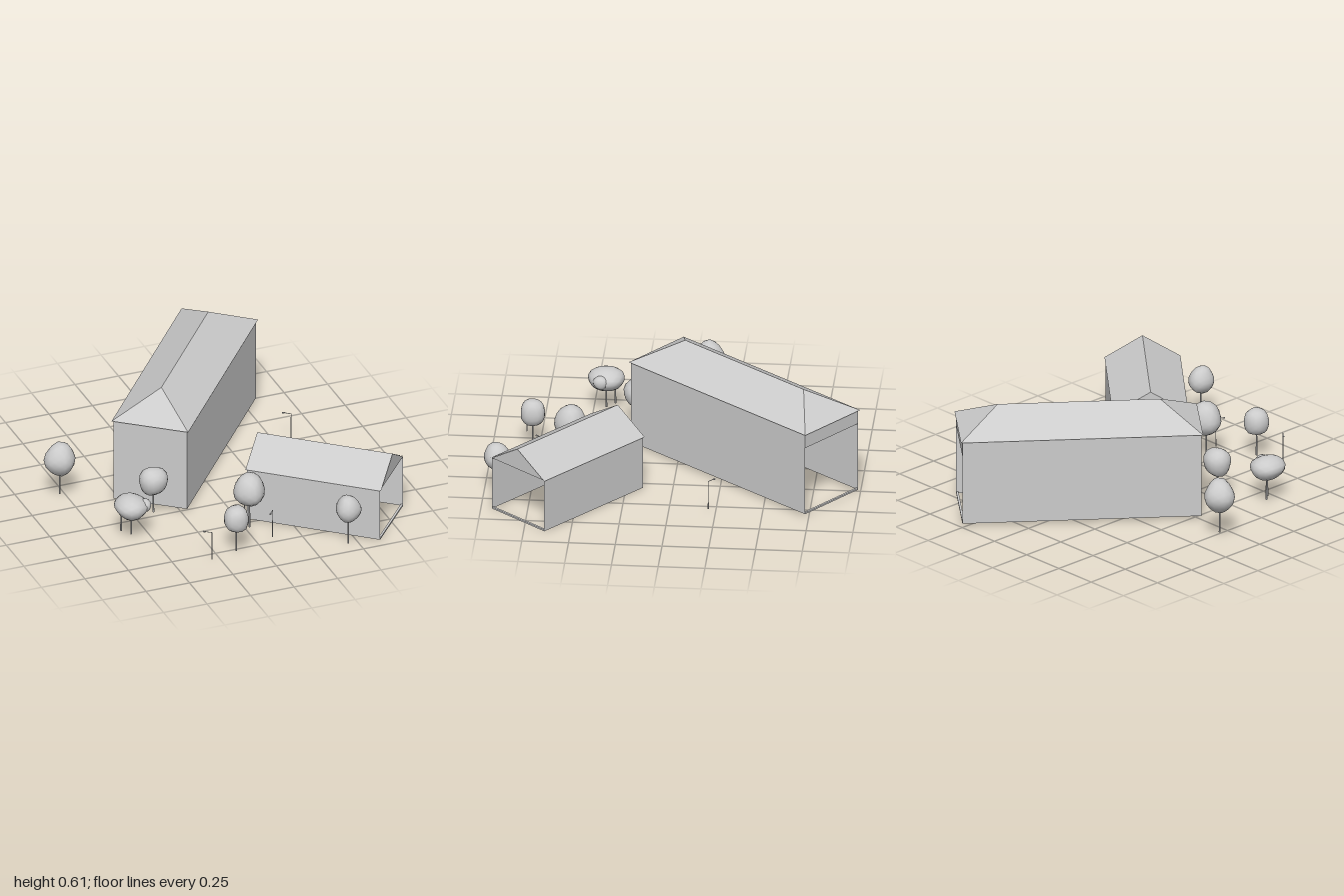
import * as THREE from 'three';
import { mergeVertices } from 'three/addons/utils/BufferGeometryUtils.js';

const grey = new THREE.MeshStandardMaterial({ color: 0xcccccc });
const sheet = new THREE.MeshStandardMaterial({ color: 0xcccccc, side: THREE.DoubleSide });

function add(parent, name, geometry, material = grey) {
  const mesh = new THREE.Mesh(geometry, material);
  mesh.name = name;
  parent.add(mesh);
  return mesh;
}

// Flat convex panel through the given corners
function panel(parent, name, ...corners) {
  const pos = [];
  for (let i = 1; i < corners.length - 1; i++) pos.push(...corners[0], ...corners[i], ...corners[i + 1]);
  const geo = new THREE.BufferGeometry();
  geo.setAttribute('position', new THREE.Float32BufferAttribute(pos, 3));
  geo.computeVertexNormals();
  return add(parent, name, geo, sheet);
}

// Hollow hall without a floor, its doorway at the local +x end
function hall({ name, x, z, turn, length, width, base, eave, ridge, ridgeLength, inset, doorTop }) {
  const g = new THREE.Group();
  g.name = name;
  g.position.set(x, 0, z);
  g.rotation.y = turn;
  const L = length / 2, W = width / 2, R = ridgeLength / 2, l = L - inset, w = W - inset;
  const gabled = ridgeLength === length;

  // side walls and roof slopes
  for (const s of [1, -1]) {
    panel(g, 'sideWall', [-s * l, base, s * w], [s * l, base, s * w], [s * l, eave, s * w], [-s * l, eave, s * w]);
    panel(g, 'roofSlope', [-s * L, eave, s * W], [s * L, eave, s * W], [s * R, ridge, 0], [-s * R, ridge, 0]);
    // gable triangle or hipped roof end
    if (gabled) panel(g, 'gable', [s * l, eave, s * w], [s * l, eave, -s * w], [s * l, ridge, 0]);
    else panel(g, 'hip', [s * L, eave, s * W], [s * L, eave, -s * W], [s * R, ridge, 0]);
  }

  // closed end, panel above the doorway and door sill
  panel(g, 'endWall', [-l, base, -w], [-l, base, w], [-l, eave, w], [-l, eave, -w]);
  if (doorTop < eave) panel(g, 'doorHeader', [l, doorTop, w], [l, doorTop, -w], [l, eave, -w], [l, eave, w]);
  add(g, 'doorSill', new THREE.BoxGeometry(0.012, 0.009, 2 * w)).position.set(l - 0.006, base + 0.0045, 0);
  return g;
}

// Lumpy smooth foliage ball
function crownGeometry(seed) {
  let geo = new THREE.IcosahedronGeometry(1, 2);
  geo.deleteAttribute('uv');
  geo.deleteAttribute('normal');
  geo = mergeVertices(geo, 1e-3);
  const p = geo.attributes.position, v = new THREE.Vector3();
  for (let i = 0; i < p.count; i++) {
    v.fromBufferAttribute(p, i);
    const k = 0.97 + 0.035 * Math.sin(4 * v.x + seed) + 0.035 * Math.sin(4 * v.z + 2 * seed) + 0.03 * Math.sin(5 * v.y + 3 * seed);
    v.multiplyScalar(k);
    p.setXYZ(i, v.x, v.y, v.z);
  }
  geo.computeVertexNormals();
  return geo;
}

function trunk(parent, x, z, y0, y1) {
  add(parent, 'trunk', new THREE.CylinderGeometry(0.003, 0.005, y1 - y0, 6)).position.set(x, (y0 + y1) / 2, z);
}

function tree(x, z, base, low, high, r, seed) {
  const g = new THREE.Group();
  g.name = 'tree';
  const mid = (low + high) / 2;
  trunk(g, x, z, base, mid);
  const crown = add(g, 'crown', crownGeometry(seed));
  crown.position.set(x, mid, z);
  crown.scale.set(r, (high - low) / 2, r);
  return g;
}

// Street lamp: post, arm reaching by (dx, dz), small lamp head
function lamp(x, z, base, dx, dz) {
  const g = new THREE.Group();
  g.name = 'streetLamp';
  g.position.set(x, base, z);
  g.rotation.y = Math.atan2(-dz, dx);
  const reach = Math.hypot(dx, dz), h = 0.163;
  add(g, 'post', new THREE.CylinderGeometry(0.0018, 0.003, h, 6)).position.y = h / 2;
  add(g, 'arm', new THREE.BoxGeometry(reach, 0.0025, 0.0025)).position.set(reach / 2, h, 0);
  add(g, 'lampHead', new THREE.BoxGeometry(0.014, 0.005, 0.008)).position.set(reach - 0.004, h - 0.001, 0);
  return g;
}

export function createModel() {
  const model = new THREE.Group();
  model.name = 'farmyard';

  model.add(
    hall({
      name: 'hippedHall', x: 0.022, z: -0.36, turn: 0.895, length: 1.295, width: 0.426,
      base: 0.018, eave: 0.49, ridge: 0.617, ridgeLength: 0.868, inset: 0.008, doorTop: 0.41,
    }),
    hall({
      name: 'gabledBarn', x: 0.46, z: 0.55, turn: -0.7, length: 0.759, width: 0.405,
      base: 0.003, eave: 0.303, ridge: 0.425, ridgeLength: 0.759, inset: 0.006, doorTop: 0.303,
    }),
  );

  // x, z, trunk foot, crown bottom, crown top, crown radius
  const trees = [
    [-0.8, -0.105, 0.04, 0.155, 0.35, 0.086],
    [-0.605, 0.43, 0.03, 0.13, 0.267, 0.096],
    [-0.405, 0.25, 0.03, 0.14, 0.302, 0.078],
    [-0.145, 0.785, 0.015, 0.13, 0.29, 0.068],
    [0.018, 0.57, 0.015, 0.145, 0.335, 0.089],
    [0.44, 0.93, 0.015, 0.145, 0.305, 0.07],
  ];
  trees.forEach((t, i) => model.add(tree(...t, i * 1.7 + 0.6)));

  // second stem and side clump of the wide tree
  trunk(model.children[3], -0.645, 0.385, 0.035, 0.2);
  const clump = add(model.children[3], 'sideClump', crownGeometry(4));
  clump.position.set(-0.537, 0.455, 0.205).set(-0.537, 0.205, 0.455);
  clump.scale.set(0.032, 0.038, 0.045);

  model.add(
    lamp(-0.302, 0.83, 0.018, -0.036, -0.03),
    lamp(0.06, 0.395, 0.015, -0.036, -0.03),
    lamp(0.094, 0.712, 0.013, -0.028, 0.037),
    lamp(0.573, -0.212, 0.024, -0.036, -0.032),
  );
  return model;
}
